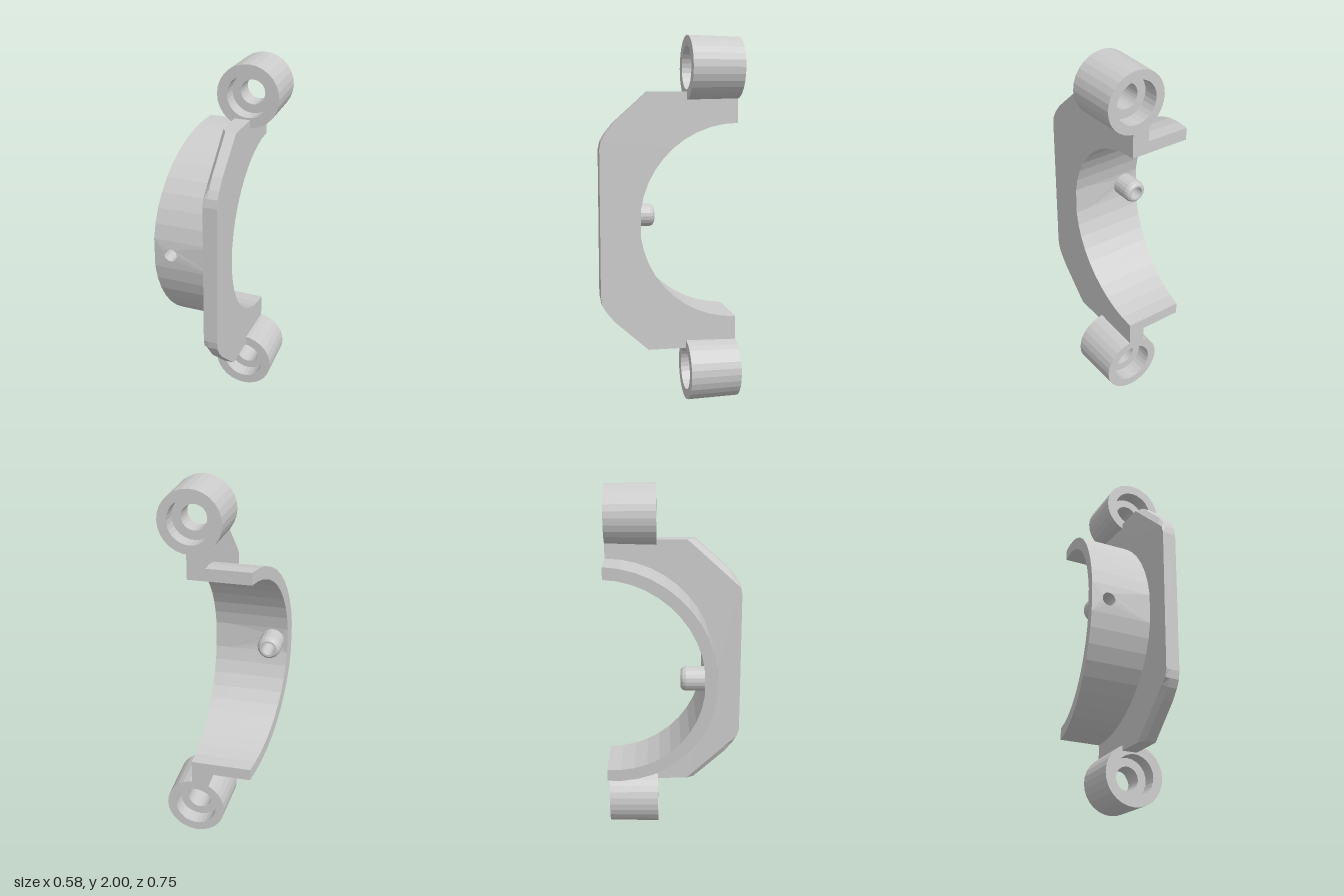
import * as THREE from 'three';

const BACK = -0.376;              // rear plane and axis of the half ring
const R_IN = 0.537, R_OUT = 0.603;
const GAP = 0.14;                 // half angle of the drilled panel
const RING_X = 0.055;             // ring end that meets the plate
const HOLE = 0.037;

const material = new THREE.MeshStandardMaterial({ color: 0xcccccc, flatShading: true, side: THREE.DoubleSide });

// move every vertex by a rule
function reshape(geo, rule) {
  const p = geo.attributes.position, v = new THREE.Vector3();
  for (let i = 0; i < p.count; i++) {
    v.fromBufferAttribute(p, i);
    rule(v);
    p.setXYZ(i, v.x, v.y, v.z);
  }
  geo.computeVertexNormals();
  return geo;
}

// points along an arc around the ring axis, as (-z, y)
function arc(r, a0, a1, n) {
  const pts = [];
  for (let i = 0; i <= n; i++) {
    const a = a0 + (a1 - a0) * i / n;
    pts.push(new THREE.Vector2(-(BACK + r * Math.cos(a)), r * Math.sin(a)));
  }
  return pts;
}

// oblique outer end of the ring
const slantX = z => -0.19 - 0.171 * (z - BACK);

export function createModel() {
  const model = new THREE.Group();
  const add = (name, geo, x = 0, y = 1, z = 0) => {
    const mesh = new THREE.Mesh(geo, material);
    mesh.name = name;
    mesh.position.set(x, y, z);
    model.add(mesh);
  };
  const H = Math.PI / 2;

  // flat plate: half outline, mirrored, closed by the bore arc
  const half = [[BACK, 0.705], [0.115, 0.705], [0.3, 0.54], [0.345, 0.485], [0.368, 0.445], [0.376, 0.4]];
  const outline = [
    ...half.map(([z, y]) => new THREE.Vector2(-z, y)),
    ...half.slice().reverse().map(([z, y]) => new THREE.Vector2(-z, -y)),
    ...arc(R_IN, -H, -GAP, 10), ...arc(R_IN, GAP, H, 10),
  ];
  const plate = new THREE.ExtrudeGeometry(new THREE.Shape(outline), { depth: 1, steps: 2, bevelEnabled: false });
  plate.rotateY(H);
  add('plate', reshape(plate, v => {
    const t = (v.z - BACK) / 0.752;
    // chamfer the diagonal corners on the ring side
    const cut = 0.67 * v.z + 0.74 * Math.abs(v.y) - 0.57;
    if (v.x < 0.1 && v.z > 0 && cut > 0) {
      if (Math.abs(v.y) > 0.7) v.z -= cut / 0.67;
      else {
        v.z -= 0.67 * cut;
        v.y -= 0.74 * cut * Math.sign(v.y);
      }
    }
    // slight draft in thickness
    const f = v.x < 0.1 ? 0 : v.x < 0.9 ? 0.3 : 1;
    v.x = THREE.MathUtils.lerp(0.046 + 0.009 * t, 0.14 - 0.008 * t, f);
  }));

  // upper and lower parts of the half ring
  for (const [name, a0, a1] of [['upperRing', GAP, H], ['lowerRing', -H, -GAP]]) {
    const shape = new THREE.Shape([...arc(R_OUT, a0, a1, 10), ...arc(R_IN, a1, a0, 10)]);
    const geo = new THREE.ExtrudeGeometry(shape, { depth: 1, bevelEnabled: false });
    geo.rotateY(H);
    add(name, reshape(geo, v => { v.x = v.x < 0.5 ? slantX(v.z) : RING_X; }));
  }

  // drilled panel in the middle of the ring
  const panel = new THREE.Shape([[-0.3, -0.08], [RING_X, -0.08], [RING_X, 0.08], [-0.3, 0.08]]
    .map(([x, y]) => new THREE.Vector2(x, y)));
  panel.holes.push(new THREE.Path().absarc(-0.195, 0, HOLE, 0, Math.PI * 2, true));
  const panelGeo = new THREE.ExtrudeGeometry(panel, { depth: 1, bevelEnabled: false, curveSegments: 20 });
  add('ringPanel', reshape(panelGeo, v => {
    const r = v.z < 0.5 ? R_IN : R_OUT;
    if (Math.abs(v.y) > 0.07) v.y = Math.sign(v.y) * r * Math.sin(GAP);
    v.z = BACK + Math.sqrt(r * r - v.y * v.y);
    if (v.x < -0.25) v.x = slantX(v.z);
  }));

  // turned parts lie along z; profile is (radius, -z)
  const turned = (profile, n) => new THREE.LatheGeometry(
    profile.map(([r, d]) => new THREE.Vector2(r, d)), n).rotateX(-H);

  // hollow pin pointing backwards
  add('pin', turned([[0.066, -0.17], [0.066, -0.058], [0.06, -0.04], [0.048, -0.03],
    [HOLE, -0.03], [HOLE, -0.17]], 20), -0.195);

  // screw bosses, counterbored from both ends
  const boss = turned([[0.17, 0.095], [0.164, 0.376], [0.115, 0.376], [0.115, 0.29],
    [0.067, 0.29], [0.067, 0.18], [0.115, 0.18], [0.115, 0.095], [0.17, 0.095]], 28);
  add('upperBoss', boss, 0.122, 1.83);
  add('lowerBoss', boss, 0.122, 0.17);

  return model;
}
